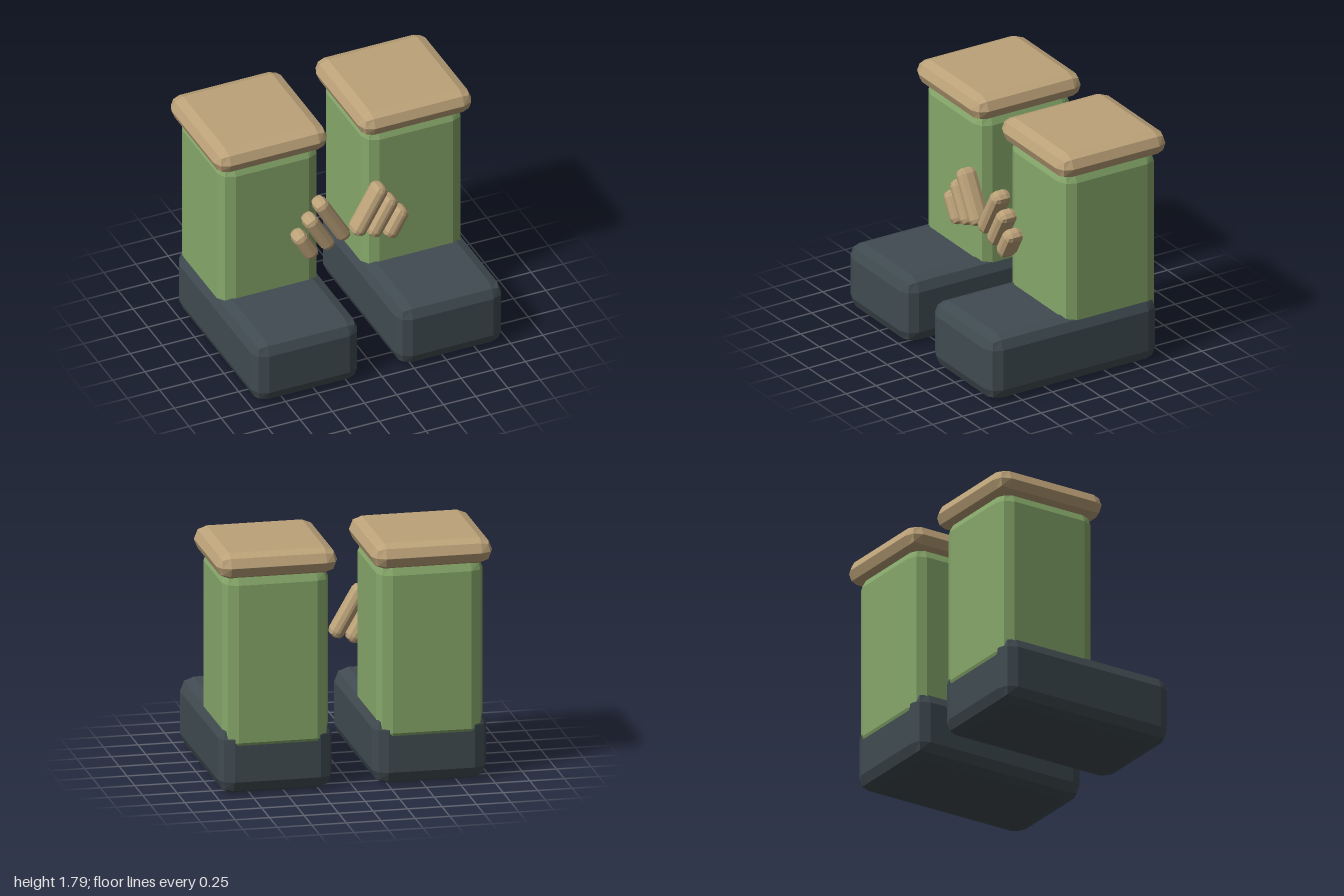
import * as THREE from 'three';
import { RoundedBoxGeometry } from 'three/addons/geometries/RoundedBoxGeometry.js';

const paint = (color) => new THREE.MeshStandardMaterial({ color, flatShading: true });

// Box with two-step bevels, given by its size, centre and bevel radius
function bevelBox(name, material, [w, h, d], [x, y, z], radius) {
  const mesh = new THREE.Mesh(new RoundedBoxGeometry(w, h, d, 1, radius), material);
  mesh.name = name;
  mesh.position.set(x, y, z);
  return mesh;
}

export function createModel() {
  const model = new THREE.Group();
  model.name = 'legsWithFingers';
  const green = paint(0x86a76a);
  const slate = paint(0x404b51);
  const tan = paint(0xbca279);

  // Finger length and centre, from the innermost outwards
  const fingers = [
    [0.42, 0.145, 1.055],
    [0.335, 0.246, 0.975],
    [0.25, 0.351, 0.894],
  ];

  for (const side of [1, -1]) {
    const prefix = side > 0 ? 'left' : 'right';
    const half = new THREE.Group();
    half.name = prefix + 'Side';

    // Boot, leg and the cuff on top
    half.add(
      bevelBox(prefix + 'Boot', slate, [0.825, 0.51, 1.413], [side * 0.559, 0.255, 0.034], 0.1),
      bevelBox(prefix + 'Leg', green, [0.77, 1.36, 0.79], [side * 0.559, 0.97, -0.286], 0.1),
      bevelBox(prefix + 'Cuff', tan, [0.876, 0.188, 0.903], [side * 0.562, 1.693, -0.288], 0.093),
    );

    // Three fingers leaning outwards in front of the leg
    const hand = new THREE.Group();
    hand.name = prefix + 'Fingers';
    fingers.forEach(([length, x, y], i) => {
      const finger = bevelBox(`${prefix}Finger${i + 1}`, tan, [0.11, length, 0.147], [side * x, y, 0.196], 0.045);
      finger.rotation.z = -side * Math.PI / 6;
      hand.add(finger);
    });
    half.add(hand);
    model.add(half);
  }
  return model;
}
